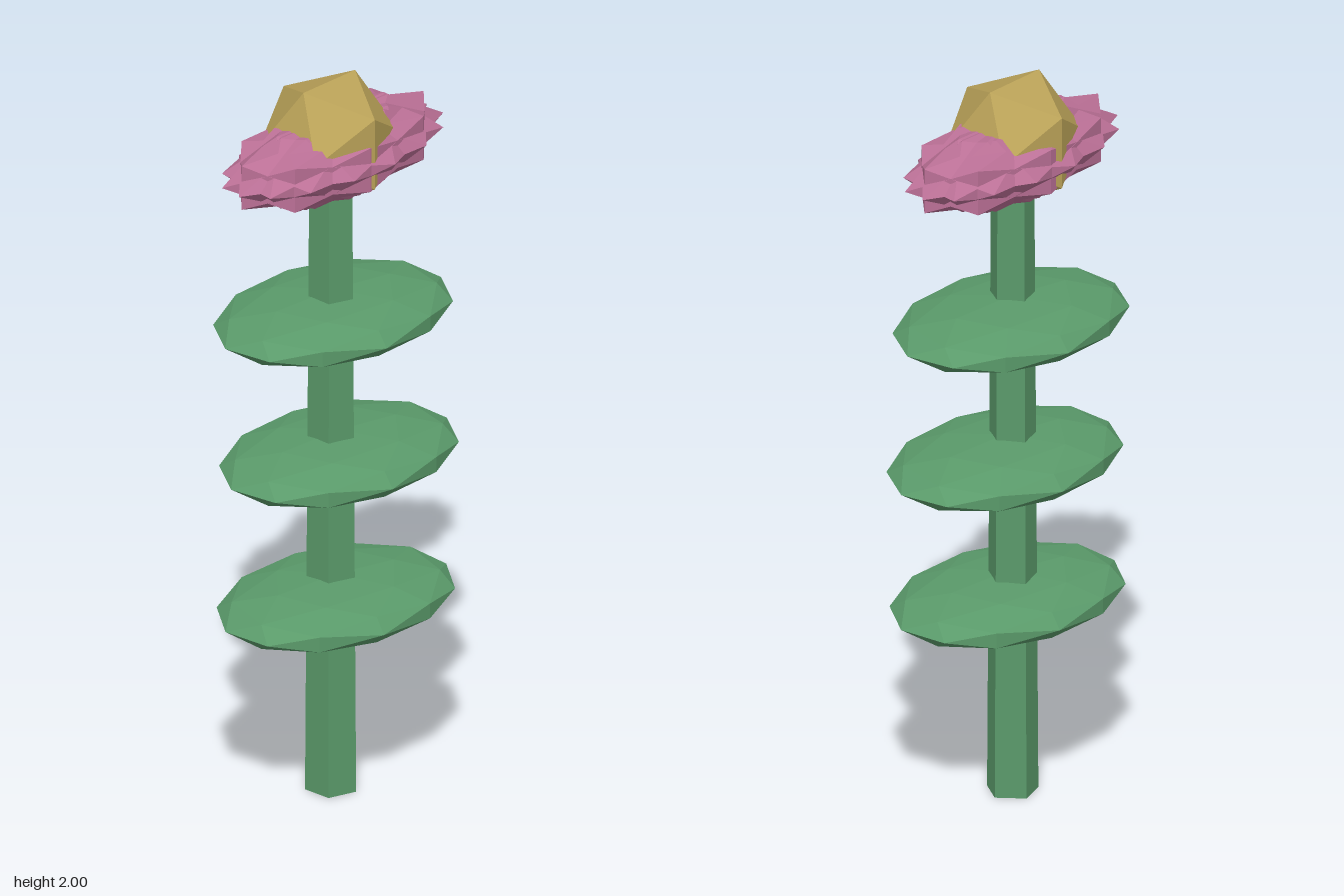
import * as THREE from 'three';

const material = (color) => new THREE.MeshStandardMaterial({ color, flatShading: true });

export function createModel() {
  const model = new THREE.Group();
  model.name = 'flower';
  const green = material(0x5a9a6a);
  const pink = material(0xbb7096);
  const gold = material(0xbaa258);

  const add = (name, geometry, mat, x, y, z, parent = model) => {
    const mesh = new THREE.Mesh(geometry, mat);
    mesh.name = name;
    mesh.position.set(x, y, z);
    parent.add(mesh);
    return mesh;
  };

  // Five-sided tapering stem with one corner towards +x
  const stem = new THREE.CylinderGeometry(0.059, 0.07, 1.75, 5, 1, false, Math.PI / 2);
  add('stem', stem, green, -0.013, 0.875, -0.002);

  // Three flattened oval leaves threaded on the stem: x, y, z, turn
  const leaves = [
    [-0.015, 0.543, 0.015, -0.25],
    [0.01, 0.94, 0.003, -0.2],
    [0.007, 1.335, -0.015, -0.2],
  ];
  for (const [x, y, z, turn] of leaves) {
    const leaf = new THREE.IcosahedronGeometry(1, 1);
    leaf.rotateY(turn).scale(0.364, 0.068, 0.26);
    add('leaf', leaf, green, x, y, z);
  }

  // Overlapping petals turned around the centre, squashed into a spiky oval
  const petals = new THREE.Group();
  petals.name = 'petals';
  petals.position.set(0, 1.8, -0.01);
  model.add(petals);
  const count = 8;
  for (let i = 0; i < count; i++) {
    const petal = new THREE.IcosahedronGeometry(0.376, 0);
    petal.translate(0, 0, 0.016);
    petal.rotateY((i / count) * Math.PI * 2 - 0.08);
    petal.scale(1, 0.3125, 0.47);
    add('petal', petal, pink, 0, 0, 0, petals);
  }

  // Faceted flower centre
  add('flowerCentre', new THREE.IcosahedronGeometry(0.188, 0), gold, -0.013, 1.84, -0.01);

  return model;
}
